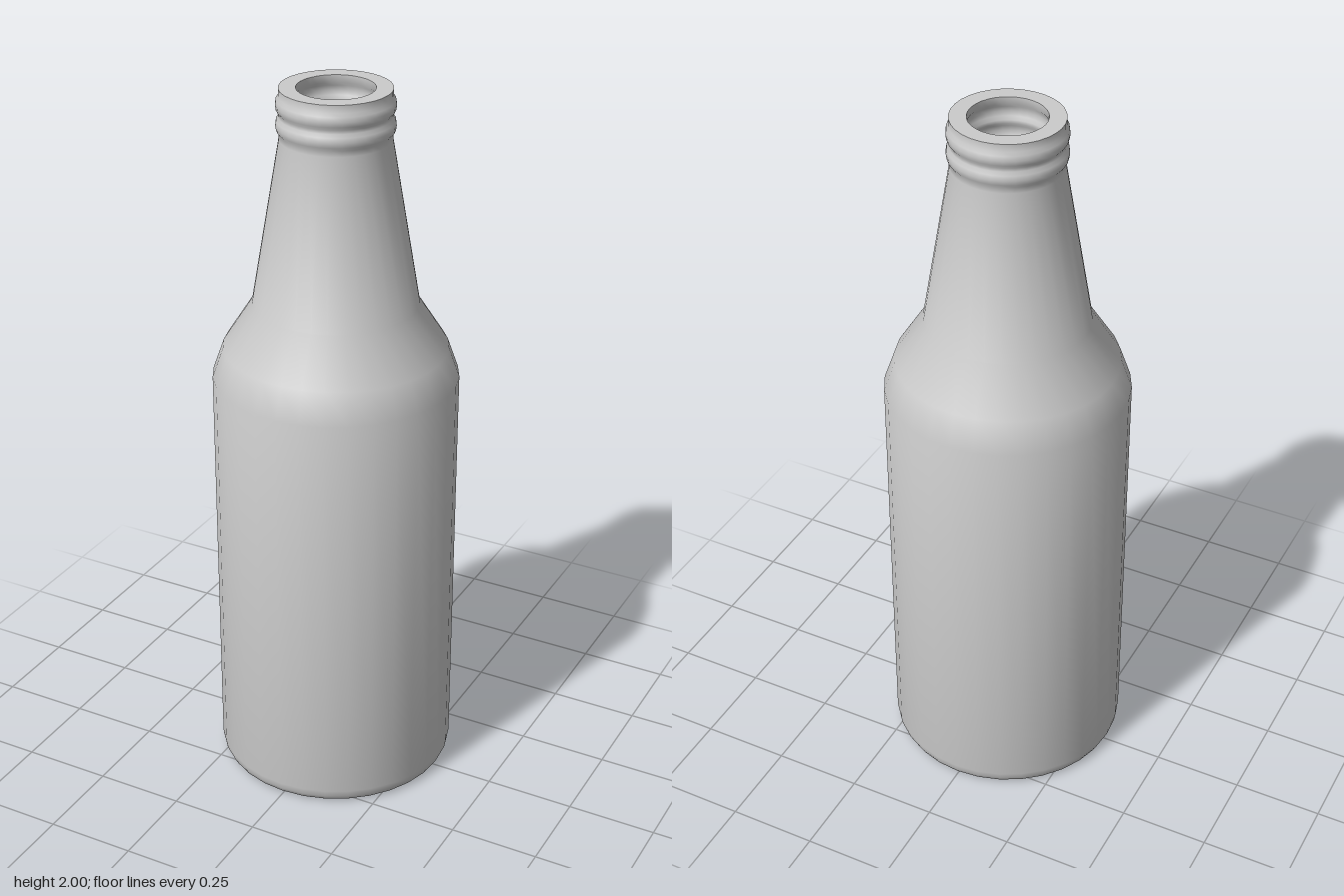
import * as THREE from 'three';
import { toCreasedNormals } from 'three/addons/utils/BufferGeometryUtils.js';

const SEGMENTS = 32;

export function createModel() {
  const group = new THREE.Group();
  group.name = 'bottle';
  const material = new THREE.MeshStandardMaterial({ color: 0xcccccc });

  // Outside wall from the rounded base up to the mouth
  const outer = [
    [0.315, 0], [0.325, 0.008], [0.332, 0.022], [0.335, 0.04],
    [0.335, 1.2], [0.305, 1.285], [0.225, 1.41], [0.148, 1.865],
  ];
  // Two rounded rings around the neck finish
  for (const y of [1.903, 1.957]) {
    outer.push([0.148, y - 0.022], [0.154, y - 0.013], [0.156, y], [0.154, y + 0.013], [0.148, y + 0.022]);
  }
  outer.push([0.148, 2]);

  // Inside wall follows the outside at constant thickness, from the mouth down to the floor
  const wall = 0.045;
  const inner = outer
    .filter(([, y]) => y > 0.03)
    .map(([r, y]) => [r - wall, y])
    .reverse();
  inner.push([0.28, wall]);

  const profile = [[0, 0], ...outer, ...inner, [0, wall]].map(([r, y]) => new THREE.Vector2(r, y));
  const geometry = toCreasedNormals(new THREE.LatheGeometry(profile, SEGMENTS), THREE.MathUtils.degToRad(50));
  const body = new THREE.Mesh(geometry, material);
  body.name = 'bottleBody';
  group.add(body);
  return group;
}
